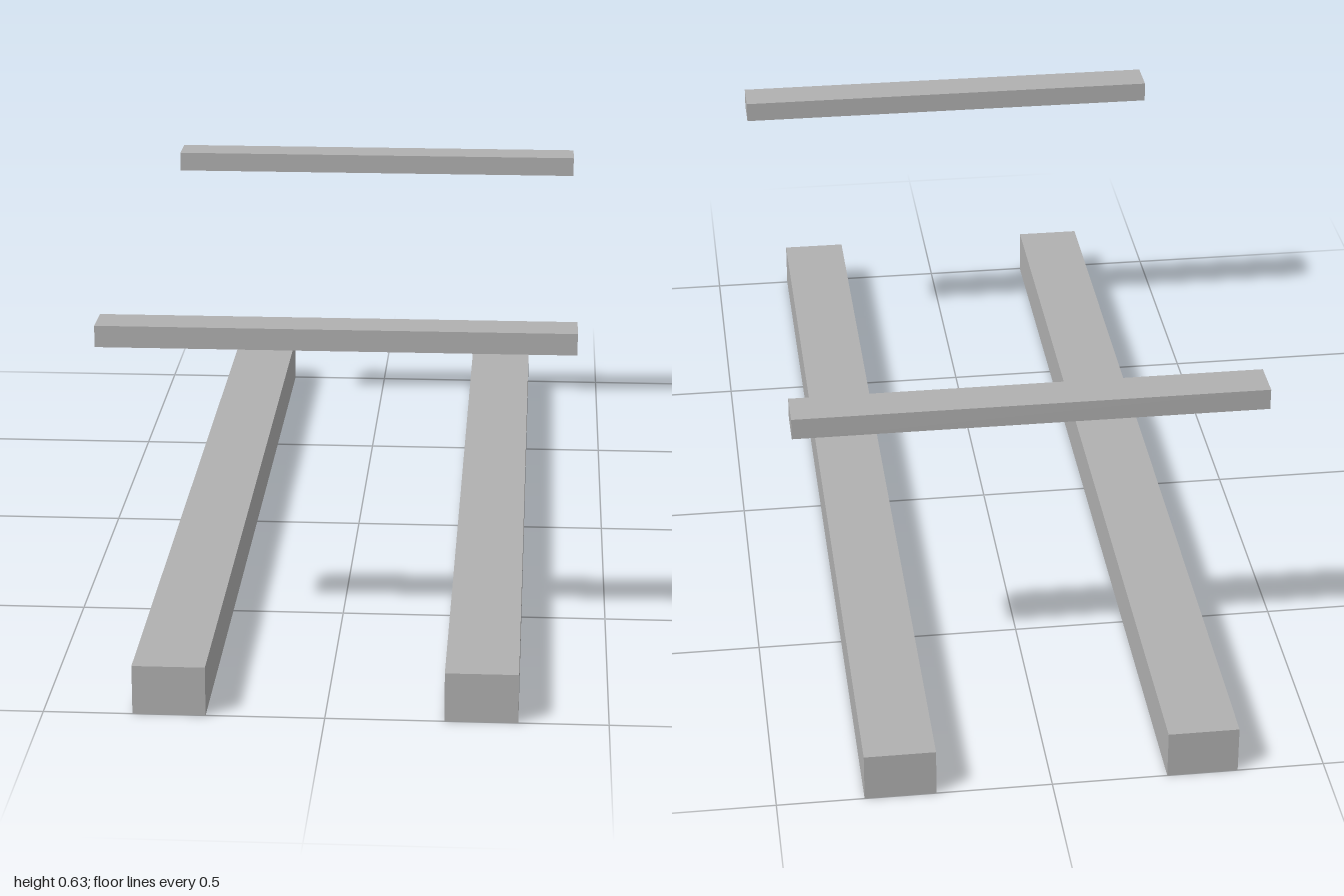
import * as THREE from 'three';

export function createModel() {
  const model = new THREE.Group();
  const grey = new THREE.MeshStandardMaterial({ color: 0xb0b0b0 });
  grey.name = 'grey';

  const addBeam = (name, size, position) => {
    const beam = new THREE.Mesh(new THREE.BoxGeometry(...size), grey);
    beam.name = name;
    beam.position.set(...position);
    model.add(beam);
  };

  // Two long ground rails, mirrored left and right
  for (const [side, s] of [['left', 1], ['right', -1]]) {
    addBeam(`${side}Rail`, [0.13, 0.091, 2], [s * 0.276, 0.0455, 0]);
  }

  // Two raised crossbars, mirrored front and back
  for (const [end, s] of [['front', 1], ['back', -1]]) {
    addBeam(`${end}Crossbar`, [0.868, 0.04, 0.076], [0, 0.609, s * 0.675]);
  }

  return model;
}
